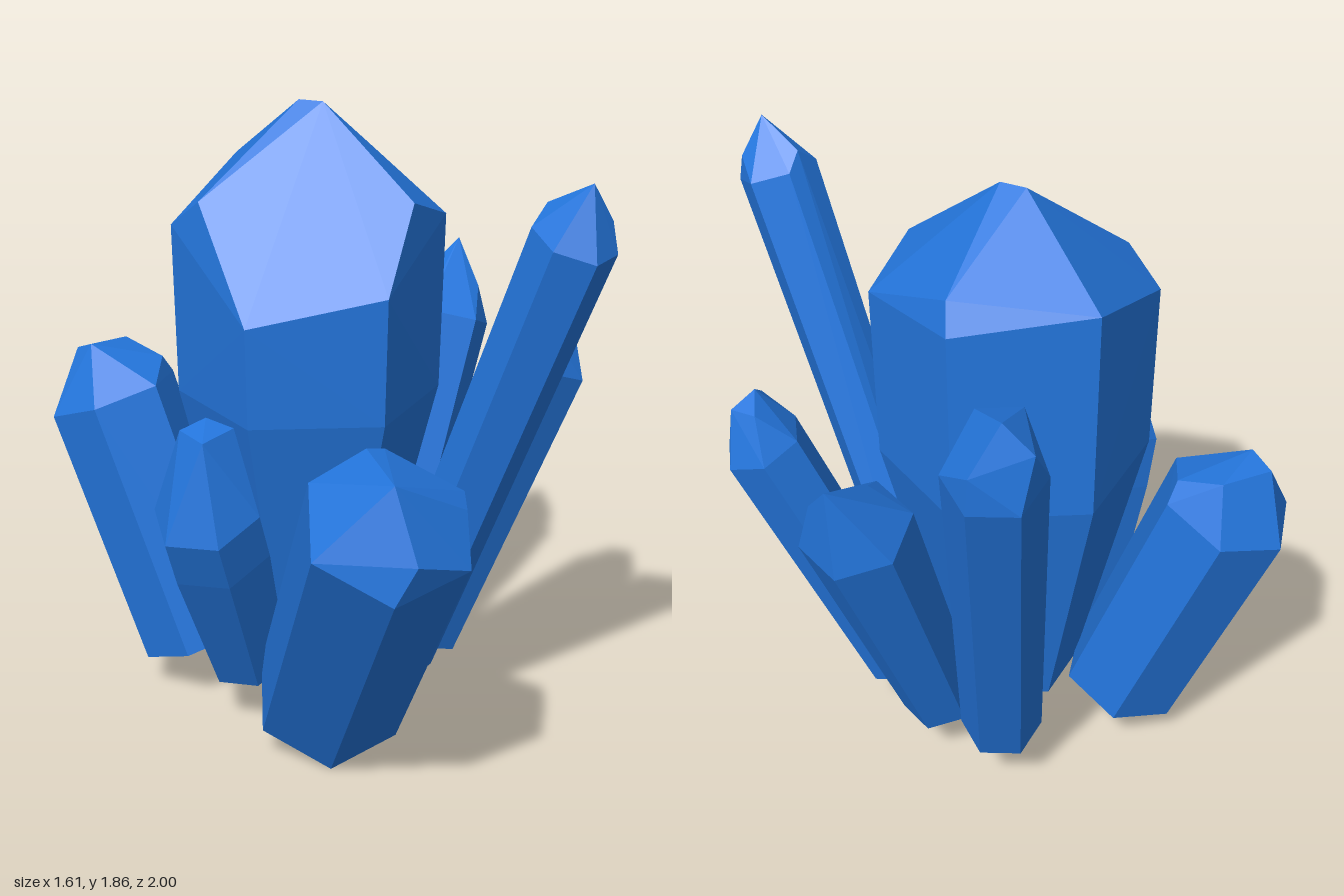
import * as THREE from 'three';
import { ConvexGeometry } from 'three/addons/geometries/ConvexGeometry.js';

const V = (p) => new THREE.Vector3(...p);

// Six corners around an axis; angles run from +x towards +z. lift shifts each corner along the axis.
function hexRing(center, axis, radius, twist, lift = []) {
  const u = new THREE.Vector3(1, 0, 0).addScaledVector(axis, -axis.x).normalize();
  const w = new THREE.Vector3().crossVectors(u, axis);
  return Array.from({ length: 6 }, (_, i) => {
    const a = THREE.MathUtils.degToRad(twist + i * 60);
    return center.clone()
      .addScaledVector(u, Math.cos(a) * radius)
      .addScaledVector(w, Math.sin(a) * radius)
      .addScaledVector(axis, lift[i] ?? 0);
  });
}

// Removes the flat end at the base so the column is a hollow shell, open below
function openBase(hull, base, axis) {
  const pos = hull.getAttribute('position');
  const kept = [];
  for (let i = 0; i < pos.count; i += 3) {
    const tri = [0, 1, 2].map((k) => new THREE.Vector3().fromBufferAttribute(pos, i + k));
    if (tri.some((p) => p.clone().sub(base).dot(axis) > 0.001)) kept.push(...tri);
  }
  const geometry = new THREE.BufferGeometry().setFromPoints(kept);
  geometry.computeVertexNormals();
  return geometry;
}

// A hexagonal column from base to rim, closed by a faceted point through the tip corners.
// mid = [position along the column, radius] adds a bulge.
function crystalGeometry({ base, rim, baseRadius, rimRadius, mid, twist, lift, tips }) {
  const b = V(base), r = V(rim);
  const axis = r.clone().sub(b).normalize();
  const points = [
    ...hexRing(b, axis, baseRadius, twist),
    ...hexRing(r, axis, rimRadius, twist, lift),
    ...tips.map(V),
  ];
  if (mid) points.push(...hexRing(b.clone().lerp(r, mid[0]), axis, mid[1], twist));
  return openBase(new ConvexGeometry(points), b, axis);
}

const CRYSTALS = {
  mainCrystal: {
    base: [-0.02, 0.17, -0.12], rim: [-0.02, 1.45, -0.1], baseRadius: 0.19, mid: [0.64, 0.39], rimRadius: 0.4,
    twist: -5, lift: [0.07, -0.08, -0.16, 0.05, 0.18, 0.13],
    tips: [[-0.05, 1.85, -0.14], [0.02, 1.85, -0.11], [-0.33, 1.59, 0.03], [0.28, 1.6, 0.07], [0.15, 1.67, -0.41]],
  },
  frontCrystal: {
    base: [0.045, 0.12, 0.22], rim: [0.21, 0.935, 0.8], baseRadius: 0.23, rimRadius: 0.238, twist: 27,
    tips: [[0.02, 1.03, 0.74], [0.15, 1.09, 0.65], [0.22, 1.1, 0.93], [0.28, 0.91, 1.0], [0.41, 0.97, 0.77]],
  },
  rightCrystal: {
    base: [-0.36, 0.14, -0.15], rim: [-0.63, 0.91, -0.26], baseRadius: 0.19, rimRadius: 0.2, twist: -20,
    tips: [[-0.69, 1.08, -0.23], [-0.6, 1.06, -0.37], [-0.48, 1.02, -0.3], [-0.74, 1.05, -0.29]],
  },
  frontRightCrystal: {
    base: [-0.2, 0.18, 0.08], rim: [-0.3, 0.755, 0.31], baseRadius: 0.125, mid: [0.75, 0.16], rimRadius: 0.16, twist: 14,
    tips: [[-0.37, 1.01, 0.32], [-0.3, 1.03, 0.27], [-0.22, 1.01, 0.3], [-0.3, 1.0, 0.4]],
  },
  frontLeftCrystal: {
    base: [0.26, 0.2, 0.09], rim: [0.69, 1.59, 0.425], baseRadius: 0.1, rimRadius: 0.12, twist: 5,
    tips: [[0.73, 1.75, 0.455], [0.62, 1.68, 0.37], [0.79, 1.64, 0.41]],
  },
  leftCrystal: {
    base: [0.33, 0.17, -0.12], rim: [0.695, 1.045, -0.19], baseRadius: 0.115, rimRadius: 0.122, twist: 20,
    tips: [[0.71, 1.21, -0.16], [0.77, 1.18, -0.22], [0.7, 1.18, -0.25], [0.7, 1.17, -0.11]],
  },
  backLeftCrystal: {
    base: [0.2, 0.19, -0.32], rim: [0.39, 1.07, -0.605], baseRadius: 0.115, rimRadius: 0.16, twist: -13,
    tips: [[0.45, 1.29, -0.73], [0.36, 1.17, -0.54], [0.51, 1.16, -0.62]],
  },
  backCrystal: {
    base: [0.01, 0.215, -0.45], rim: [0.01, 1.475, -0.885], baseRadius: 0.12, rimRadius: 0.135, twist: 0,
    tips: [[-0.01, 1.68, -0.95], [-0.09, 1.6, -0.97], [0.07, 1.55, -1.0], [0.06, 1.62, -0.81], [-0.06, 1.62, -0.8]],
  },
};

export function createModel() {
  const group = new THREE.Group();
  group.name = 'crystalCluster';
  const blue = new THREE.MeshStandardMaterial({ color: 0x2476dd, side: THREE.DoubleSide });
  blue.name = 'crystalBlue';
  blue.flatShading = true;
  for (const [name, spec] of Object.entries(CRYSTALS)) {
    const mesh = new THREE.Mesh(crystalGeometry(spec), blue);
    mesh.name = name;
    group.add(mesh);
  }
  return group;
}
